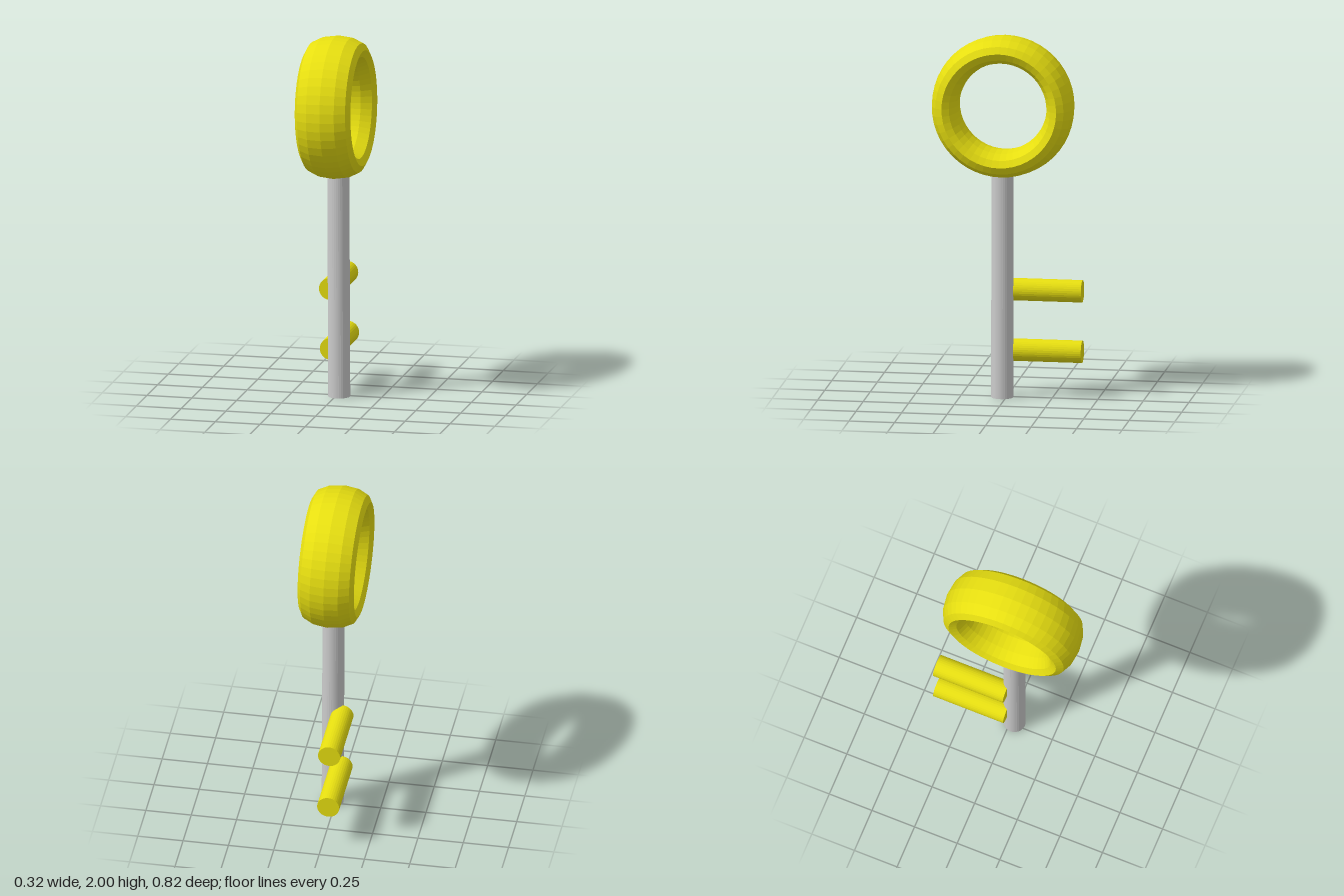
import * as THREE from 'three';

export function createModel() {
  const model = new THREE.Group();
  const yellow = new THREE.MeshStandardMaterial({ color: 0xe6de10, flatShading: true });
  const grey = new THREE.MeshStandardMaterial({ color: 0xcccccc, flatShading: true });

  const add = (name, geometry, material, x, y, z) => {
    const mesh = new THREE.Mesh(geometry, material);
    mesh.name = name;
    mesh.position.set(x, y, z);
    model.add(mesh);
    return mesh;
  };

  // Ring handle: a torus around the x axis, stretched sideways into a wide band
  const ringGeometry = new THREE.TorusGeometry(0.315, 0.075, 12, 48);
  ringGeometry.rotateY(Math.PI / 2);
  ringGeometry.scale(2.07, 1, 1);
  const ring = add('ringHandle', ringGeometry, yellow, 0, 1.612, 0.02);
  ring.rotation.z = 0.022;

  // Shaft, leaning very slightly and ending inside the ring
  const shaft = add('shaft', new THREE.CylinderGeometry(0.06, 0.06, 1.3, 32), grey, 0.016, 0.65, 0.022);
  shaft.rotation.z = 0.004;

  // Two round teeth pointing backwards, set off to one side of the shaft
  const toothGeometry = new THREE.CylinderGeometry(0.061, 0.061, 0.41, 32);
  toothGeometry.rotateX(Math.PI / 2);
  add('upperTooth', toothGeometry, yellow, -0.039, 0.589, -0.205);
  add('lowerTooth', toothGeometry, yellow, -0.034, 0.254, -0.205);

  return model;
}
